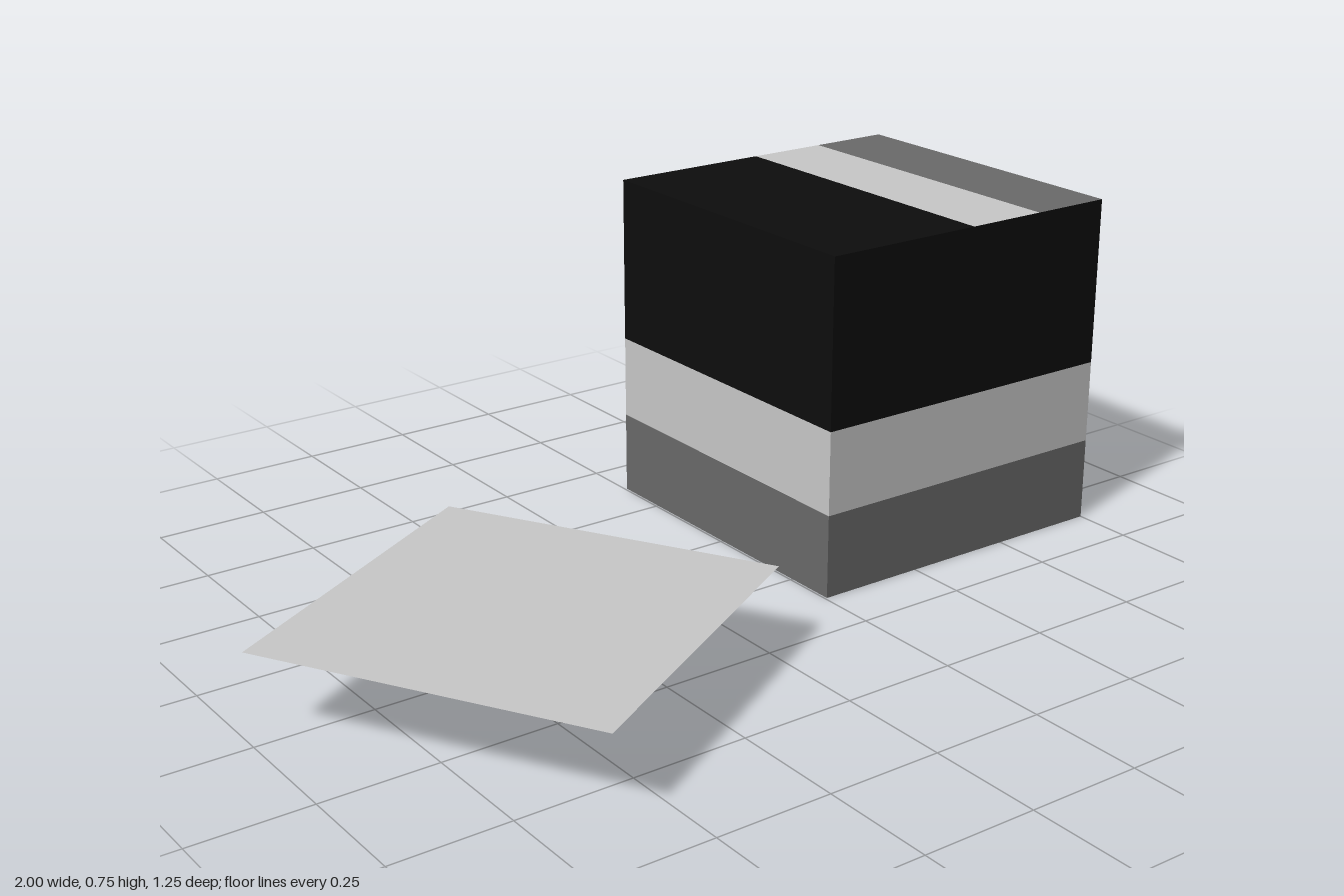
import * as THREE from 'three';

const SIZE = 0.745;

function material(name, color, side = THREE.FrontSide) {
  const m = new THREE.MeshStandardMaterial({ color, side });
  m.name = name;
  return m;
}

export function createModel() {
  const model = new THREE.Group();
  model.name = 'stripedCubeAndPanel';

  const black = material('black', 0x0d0d0d);
  const lightGrey = material('lightGrey', 0xc9c9c9, THREE.DoubleSide);
  const darkGrey = material('darkGrey', 0x6a6a6a);

  // Stripes of every cube face, from its lower edge: start and height as fractions
  const stripes = [
    ['darkStripe', darkGrey, 0, 0.25],
    ['lightStripe', lightGrey, 0.25, 0.25],
    ['blackStripe', black, 0.5, 0.5],
  ];

  // One striped face, turned about y, then tilted about x
  function cubeFace(name, turn, tilt = 0) {
    const face = new THREE.Group();
    face.name = name;
    for (const [label, mat, start, height] of stripes) {
      const stripe = new THREE.Mesh(new THREE.PlaneGeometry(SIZE, SIZE * height), mat);
      stripe.name = label;
      stripe.position.set(0, SIZE * (start + height / 2 - 0.5), SIZE / 2);
      face.add(stripe);
    }
    face.rotation.set(tilt, turn, 0, 'YXZ');
    return face;
  }

  // Cube: four banded sides, top and bottom banded along z
  const q = Math.PI / 2;
  const cube = new THREE.Group();
  cube.name = 'cube';
  ['frontFace', 'leftFace', 'backFace', 'rightFace'].forEach((name, i) => cube.add(cubeFace(name, i * q)));
  cube.add(cubeFace('topFace', q, -q), cubeFace('bottomFace', q, q));
  cube.position.set(1 - SIZE / 2, SIZE / 2, -0.255);
  model.add(cube);

  // Flat square panel floating beside the cube
  const panel = new THREE.Mesh(new THREE.PlaneGeometry(SIZE, SIZE).rotateX(-q), lightGrey);
  panel.name = 'panel';
  panel.rotation.y = Math.PI / 6;
  panel.position.set(-0.491, SIZE / 4, 0.118);
  model.add(panel);

  return model;
}
